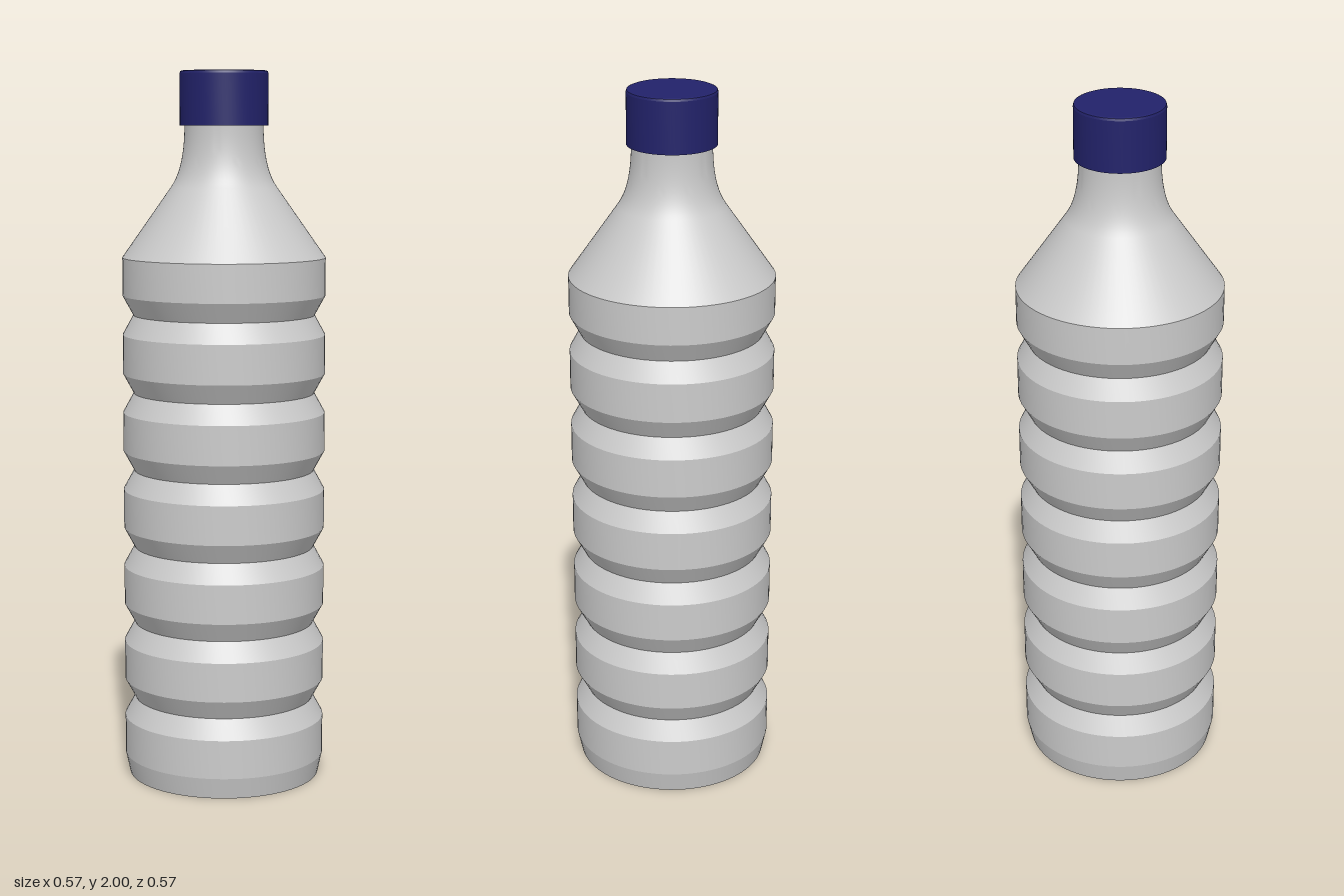
import * as THREE from 'three';
import { toCreasedNormals } from 'three/addons/utils/BufferGeometryUtils.js';

const SEGMENTS = 72;
const RADIUS = 0.285;

// Turned solid with smooth sides and sharp profile corners
function turned(name, points, material) {
  const geometry = toCreasedNormals(new THREE.LatheGeometry(points, SEGMENTS), 0.2);
  const mesh = new THREE.Mesh(geometry, material);
  mesh.name = name;
  return mesh;
}

export function createModel() {
  const group = new THREE.Group();
  group.name = 'bottle';
  const p = (r, y) => new THREE.Vector2(r, y);

  const grey = new THREE.MeshStandardMaterial({ color: 0xcccccc });
  const blue = new THREE.MeshStandardMaterial({ color: 0x22226a });

  // Base with a slight taper
  const body = [p(0, 0), p(0.272, 0), p(RADIUS, 0.06)];

  // Six V-shaped grooves around the body
  for (let i = 0; i < 6; i++) {
    const y = 0.224 + i * 0.22;
    body.push(p(RADIUS, y - 0.055), p(0.255, y), p(RADIUS, y + 0.055));
  }

  // Conical shoulder flowing into the neck
  body.push(p(RADIUS, 1.485));
  const neck = new THREE.QuadraticBezierCurve(p(0.148, 1.68), p(0.11, 1.734), p(0.11, 1.85));
  body.push(...neck.getPoints(10), p(0.11, 1.87));
  group.add(turned('body', body, grey));

  // Screw cap with a small bevel on its top edge
  const cap = [p(0, 1.85), p(0.123, 1.85), p(0.123, 1.992), p(0.121, 1.998), p(0.116, 2), p(0, 2)];
  group.add(turned('cap', cap, blue));

  return group;
}
